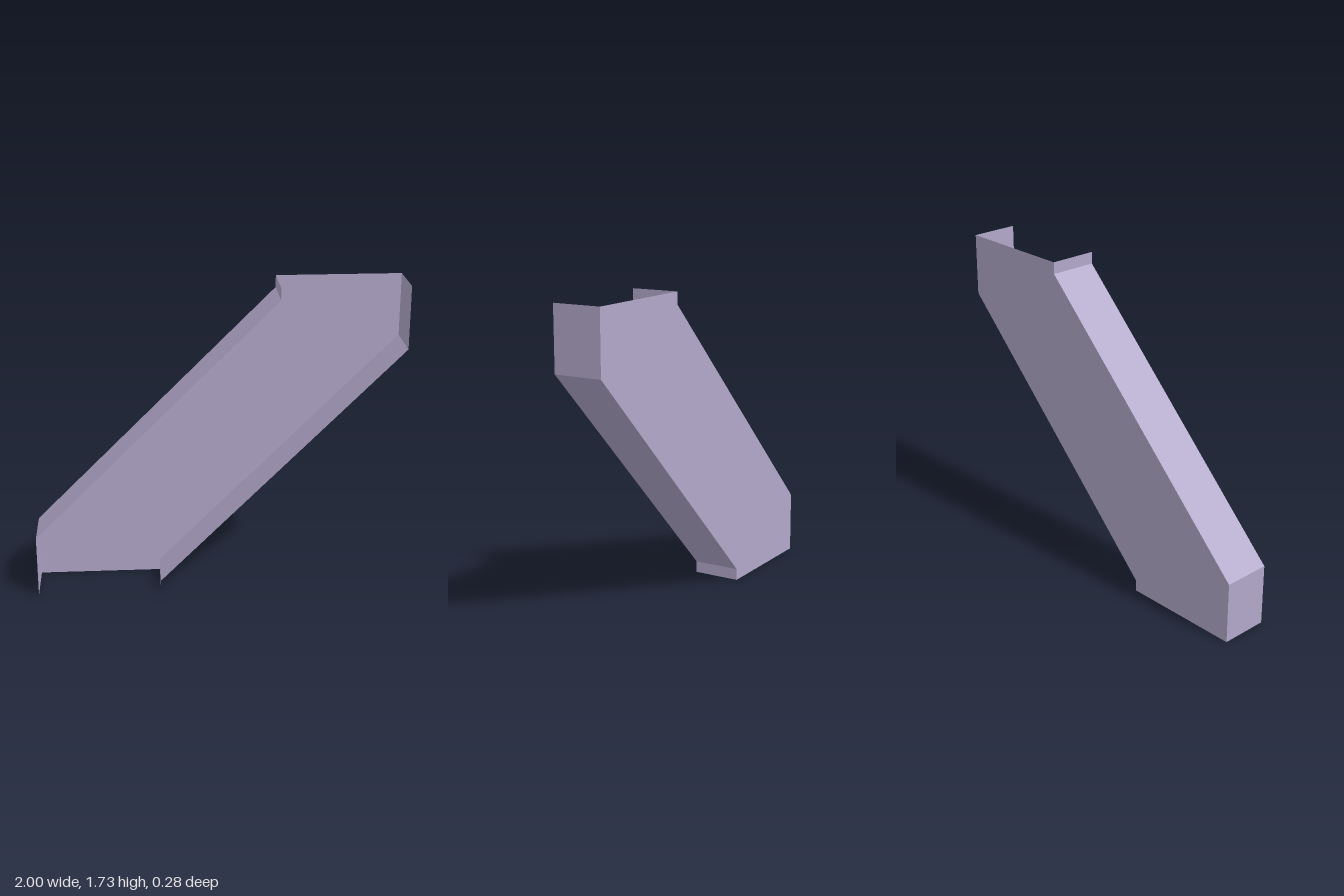
import * as THREE from 'three';

const DEPTH = 0.269;  // flange depth, back to front
const YAW = -0.0065;  // the whole tray is turned very slightly about y

// Two mirrored flange profiles (x, y), each running up one side of the web
const upperSide = [[-1, 0], [-1, 0.345], [0.322, 1.665], [0.322, 1.73]];
const lowerSide = [[1, 1.73], [1, 1.387], [-0.322, 0.065], [-0.322, 0]];

export function createModel() {
  const lavender = new THREE.MeshStandardMaterial({ color: 0xb2a8ca, side: THREE.DoubleSide });
  const group = new THREE.Group();
  group.name = 'diagonalChannel';

  // Flat web at the back, open at its top and bottom ends
  const outline = new THREE.Shape([...upperSide, ...lowerSide].map(([x, y]) => new THREE.Vector2(x, y)));
  const web = new THREE.Mesh(new THREE.ShapeGeometry(outline), lavender);
  web.name = 'backWeb';
  web.position.z = -DEPTH / 2;
  group.add(web);

  // Thin flanges folded forward along both sides, one plate per segment
  const addFlanges = (points, side) => {
    for (let i = 0; i < points.length - 1; i++) {
      const [x0, y0] = points[i];
      const [x1, y1] = points[i + 1];
      const plate = new THREE.PlaneGeometry(Math.hypot(x1 - x0, y1 - y0), DEPTH);
      plate.rotateX(-Math.PI / 2);
      plate.rotateZ(Math.atan2(y1 - y0, x1 - x0));
      const flange = new THREE.Mesh(plate, lavender);
      flange.name = side + ['Outer', 'Sloped', 'Inner'][i] + 'Flange';
      flange.position.set((x0 + x1) / 2, (y0 + y1) / 2, 0);
      group.add(flange);
    }
  };
  addFlanges(upperSide, 'upper');
  addFlanges(lowerSide, 'lower');

  group.rotation.y = YAW;
  return group;
}
